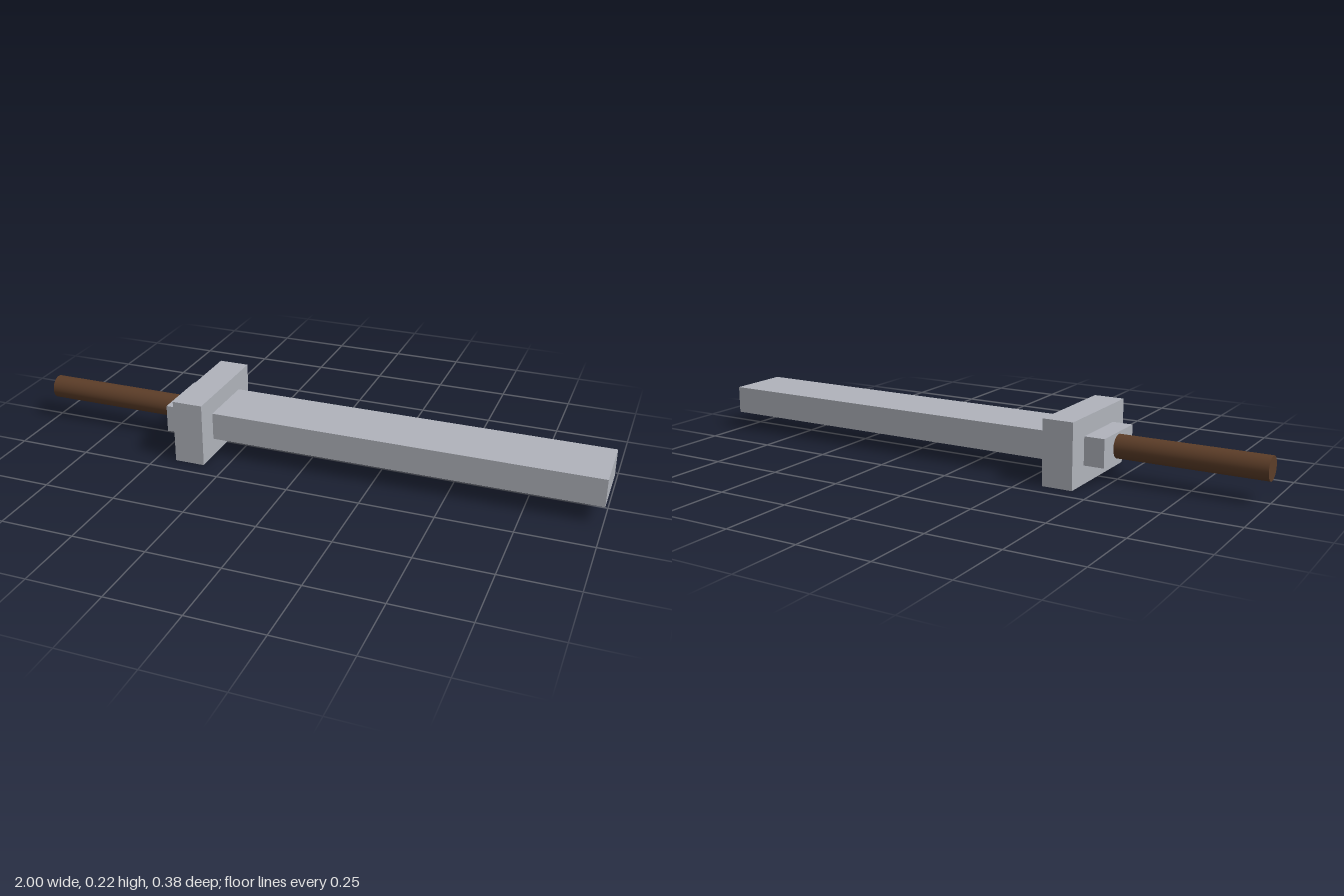
import * as THREE from 'three';

export function createModel() {
  const model = new THREE.Group();
  model.name = 'sword';
  const steel = new THREE.MeshStandardMaterial({ color: 0xb0b3bb });
  const wood = new THREE.MeshStandardMaterial({ color: 0x5c3d28 });
  const axisY = 0.11; // height of the sword's long axis

  const addPart = (name, geometry, material, x) => {
    const mesh = new THREE.Mesh(geometry, material);
    mesh.name = name;
    mesh.position.set(x, axisY, 0);
    model.add(mesh);
  };

  // Blade, running through the guard to the grip
  addPart('blade', new THREE.BoxGeometry(1.5, 0.095, 0.218), steel, 0.25);

  // Cross guard
  addPart('guard', new THREE.BoxGeometry(0.105, 0.22, 0.382), steel, -0.378);

  // Round wooden grip, laid along x
  addPart('grip', new THREE.CylinderGeometry(0.04, 0.04, 0.5, 32).rotateZ(Math.PI / 2), wood, -0.75);

  return model;
}
